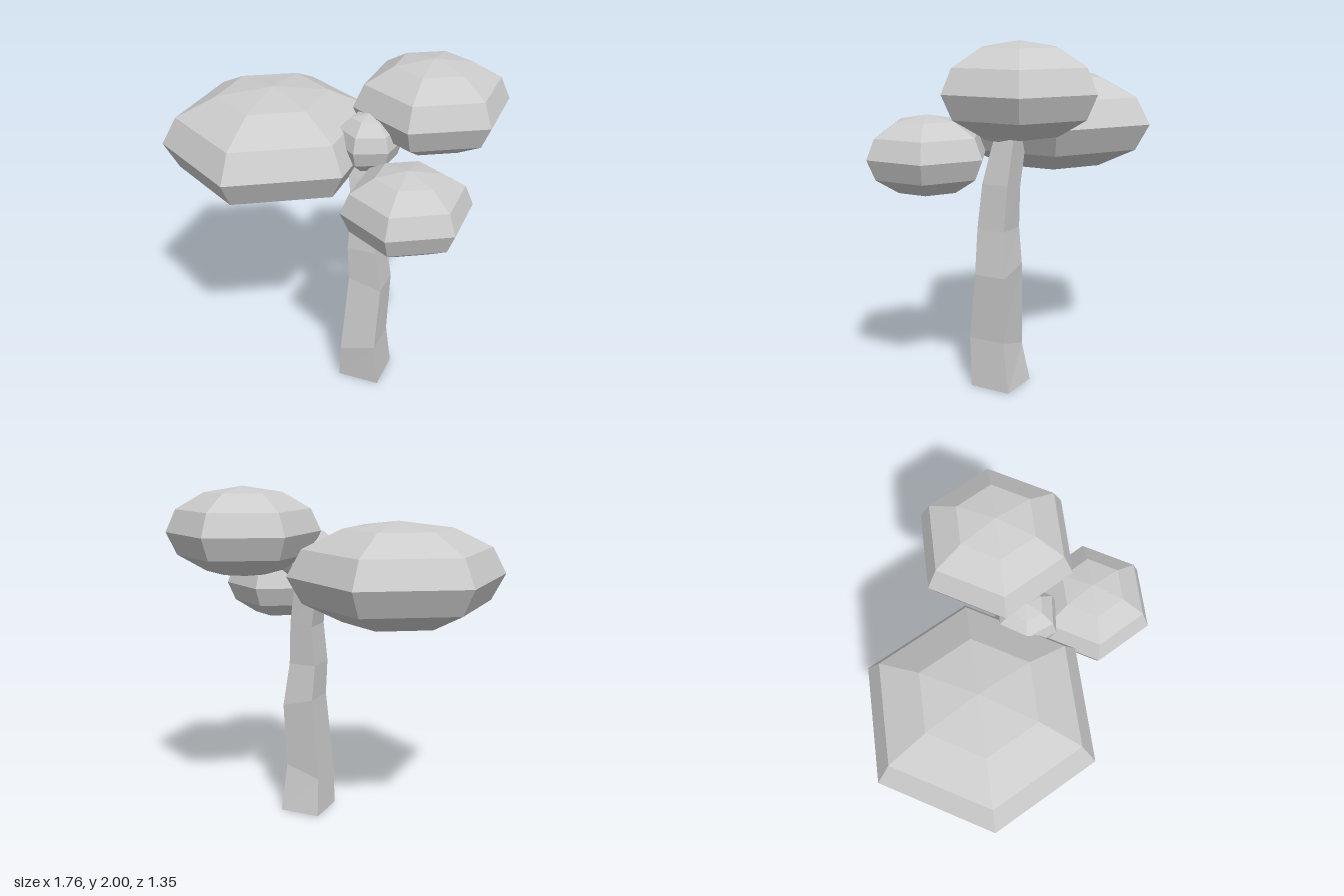
import * as THREE from 'three';

const grey = new THREE.MeshStandardMaterial({ color: 0xcccccc, flatShading: true });
grey.name = 'pale grey';

// Six-sided faceted foliage clump with a corner towards the front
function foliage(name, position, radii, turn = 0) {
  const geometry = new THREE.SphereGeometry(1, 6, 6);
  geometry.rotateY(Math.PI / 2 + turn);
  geometry.scale(...radii);
  const mesh = new THREE.Mesh(geometry, grey);
  mesh.name = name;
  mesh.position.set(...position);
  return mesh;
}

// Crooked four-sided trunk: each section is [yLeft, yRight, x0, x1, z0, z1]
function trunk() {
  const sections = [
    [0, 0, 0.12, 0.37, -0.085, 0.165],
    [0.225, 0.29, 0.135, 0.35, -0.04, 0.185],
    [0.73, 0.68, 0.165, 0.36, -0.058, 0.137],
    [0.94, 0.94, 0.155, 0.325, -0.035, 0.14],
    [1.18, 1.2, 0.168, 0.308, -0.05, 0.115],
    [1.37, 1.37, 0.135, 0.28, -0.06, 0.08],
    [1.5, 1.5, 0.15, 0.26, -0.07, 0.05],
  ];
  const points = [];
  const faces = [];
  for (const [yl, yr, x0, x1, z0, z1] of sections) {
    points.push(x0, yl, z1, x1, yr, z1, x1, yr, z0, x0, yl, z0);
  }
  for (let s = 0; s < sections.length - 1; s++) {
    for (let i = 0; i < 4; i++) {
      const a = s * 4 + i;
      const b = s * 4 + ((i + 1) % 4);
      faces.push(a, b, b + 4, a, b + 4, a + 4);
    }
  }
  // End caps
  const t = (sections.length - 1) * 4;
  faces.push(0, 2, 1, 0, 3, 2, t, t + 1, t + 2, t, t + 2, t + 3);

  const indexed = new THREE.BufferGeometry();
  indexed.setAttribute('position', new THREE.Float32BufferAttribute(points, 3));
  indexed.setIndex(faces);
  const geometry = indexed.toNonIndexed();
  geometry.computeVertexNormals();
  const mesh = new THREE.Mesh(geometry, grey);
  mesh.name = 'trunk';
  return mesh;
}

export function createModel() {
  const tree = new THREE.Group();
  tree.name = 'tree';
  tree.add(
    trunk(),
    foliage('largeFoliage', [-0.34, 1.51, 0.027], [0.624, 0.304, 0.647]),
    foliage('topFoliage', [0.497, 1.745, -0.24], [0.44, 0.255, 0.44]),
    foliage('frontFoliage', [0.545, 1.38, 0.31], [0.352, 0.222, 0.352]),
    foliage('centreFoliage', [0.232, 1.592, 0.045], [0.186, 0.163, 0.186], -0.1),
  );
  return tree;
}
